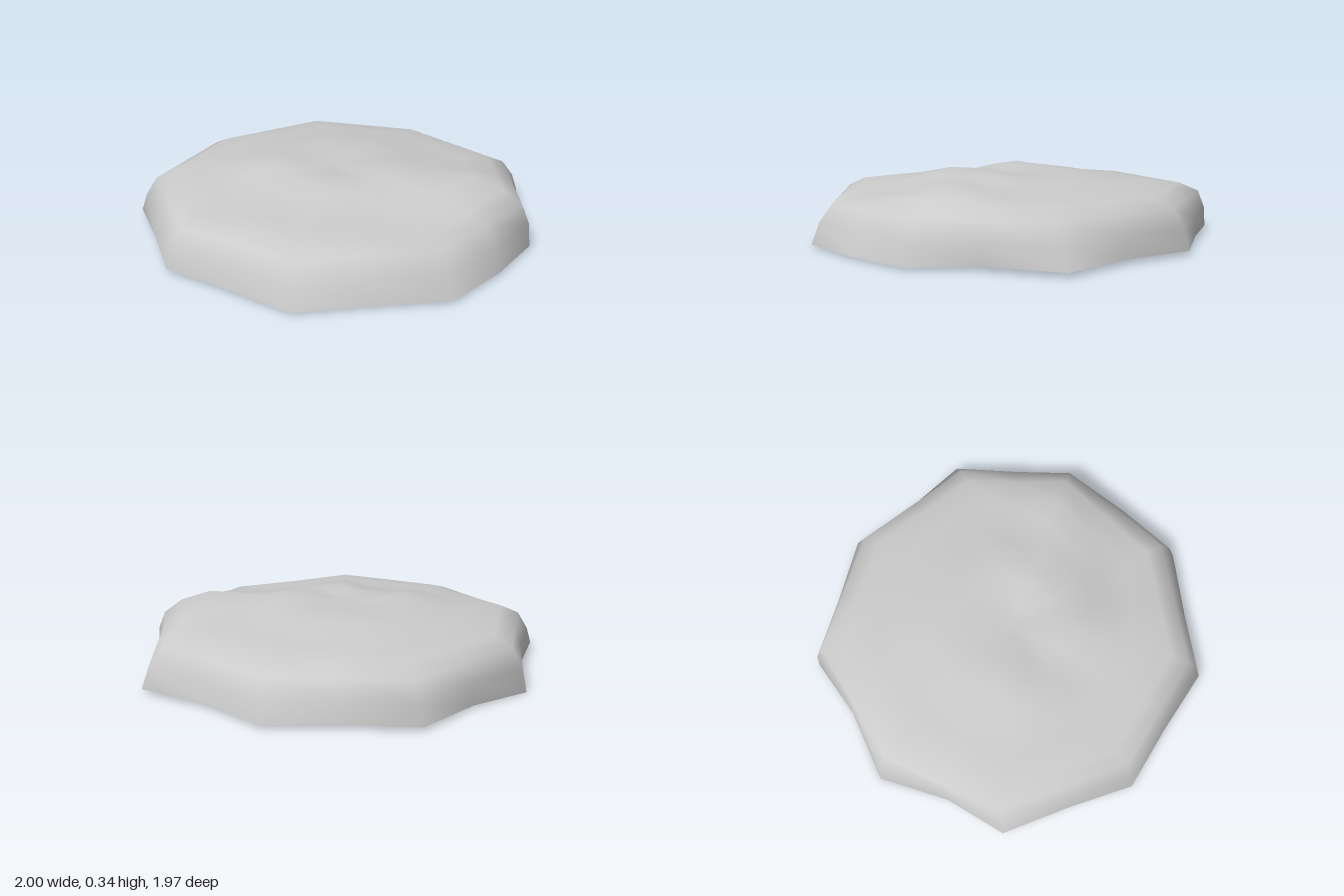
import * as THREE from 'three';

// Lower rim, alternating corner and edge midpoint: [x, z, y]
const RIM = [
  [-0.28, -0.99, 0.02], [0.08, -0.95, 0.02], [0.45, -0.99, 0.02], [0.66, -0.68, 0.02],
  [0.91, -0.46, 0.01], [0.98, -0.12, 0.01], [1.0, 0.23, 0.01], [0.78, 0.53, 0.01],
  [0.59, 0.81, 0.01], [0.24, 0.89, 0.015], [-0.09, 0.98, 0.02], [-0.4, 0.84, 0.025],
  [-0.73, 0.71, 0.035], [-0.82, 0.4, 0.02], [-1.0, 0.08, 0], [-0.89, -0.24, 0.01],
  [-0.85, -0.6, 0.02], [-0.58, -0.77, 0.02],
];

// Nine corners of the shoulder where the wall turns into the top: [x, z]
const SHOULDER = [
  [-0.24, -0.92], [0.42, -0.88], [0.85, -0.46], [0.9, 0.19], [0.53, 0.74],
  [-0.07, 0.9], [-0.68, 0.64], [-0.92, 0.07], [-0.8, -0.59],
];

// Mounds and hollows on the top: [x, z, height, radius]
const BUMPS = [
  [0.24, -0.13, 0.03, 0.14], [0.17, 0.22, 0.02, 0.14], [-0.22, 0.27, 0.025, 0.16],
  [0.63, -0.33, 0.065, 0.18], [0.66, 0.18, -0.04, 0.22], [0.04, 0.4, -0.03, 0.16],
  [-0.1, 0.65, -0.02, 0.3], [0.04, 0.02, -0.01, 0.14],
];

// Top height at a point, f = fraction of the distance to the shoulder
function topHeight(x, z, f) {
  let y = 0.315 - 0.045 * THREE.MathUtils.smoothstep(f, 0.35, 0.75)
    - 0.02 * THREE.MathUtils.smoothstep(f, 0.7, 0.95);
  for (const [bx, bz, h, r] of BUMPS) {
    y += h * Math.exp(-((x - bx) ** 2 + (z - bz) ** 2) / (r * r));
  }
  return y;
}

export function createModel() {
  const group = new THREE.Group();
  const n = RIM.length;

  const shoulder = RIM.map((_, i) => {
    const a = SHOULDER[i >> 1];
    const b = SHOULDER[((i + 1) >> 1) % SHOULDER.length];
    return [(a[0] + b[0]) / 2, (a[1] + b[1]) / 2];
  });

  // Rings from the rim, up the bulging wall, over the shoulder, in to the centre
  const bulge = 0.5 * 1.015;
  const rings = [
    RIM.map(([x, z, y]) => [x, y, z]),
    RIM.map(([x, z], i) => [(x + shoulder[i][0]) * bulge, 0.12, (z + shoulder[i][1]) * bulge]),
    shoulder.map(([x, z]) => [x, 0.21, z]),
    ...[0.9, 0.74, 0.6, 0.47, 0.35, 0.23, 0.11].map((f) =>
      shoulder.map(([x, z]) => [x * f, topHeight(x * f, z * f, f), z * f])),
  ];
  const positions = rings.flat(2);
  positions.push(0, topHeight(0, 0, 0), 0);

  const index = [];
  for (let k = 0; k < rings.length; k++) {
    for (let i = 0; i < n; i++) {
      const j = (i + 1) % n;
      const a = k * n + i, b = k * n + j;
      if (k === rings.length - 1) index.push(a, rings.length * n, b);
      else index.push(a, a + n, b + n, a, b + n, b);
    }
  }

  // Open-bottomed shell, smooth all over
  const geometry = new THREE.BufferGeometry();
  geometry.setAttribute('position', new THREE.Float32BufferAttribute(positions, 3));
  geometry.setIndex(index);
  geometry.computeVertexNormals();
  const shell = new THREE.Mesh(geometry, new THREE.MeshStandardMaterial({
    color: 0xcccccc, side: THREE.DoubleSide,
  }));
  shell.name = 'moundShell';
  group.add(shell);
  return group;
}
